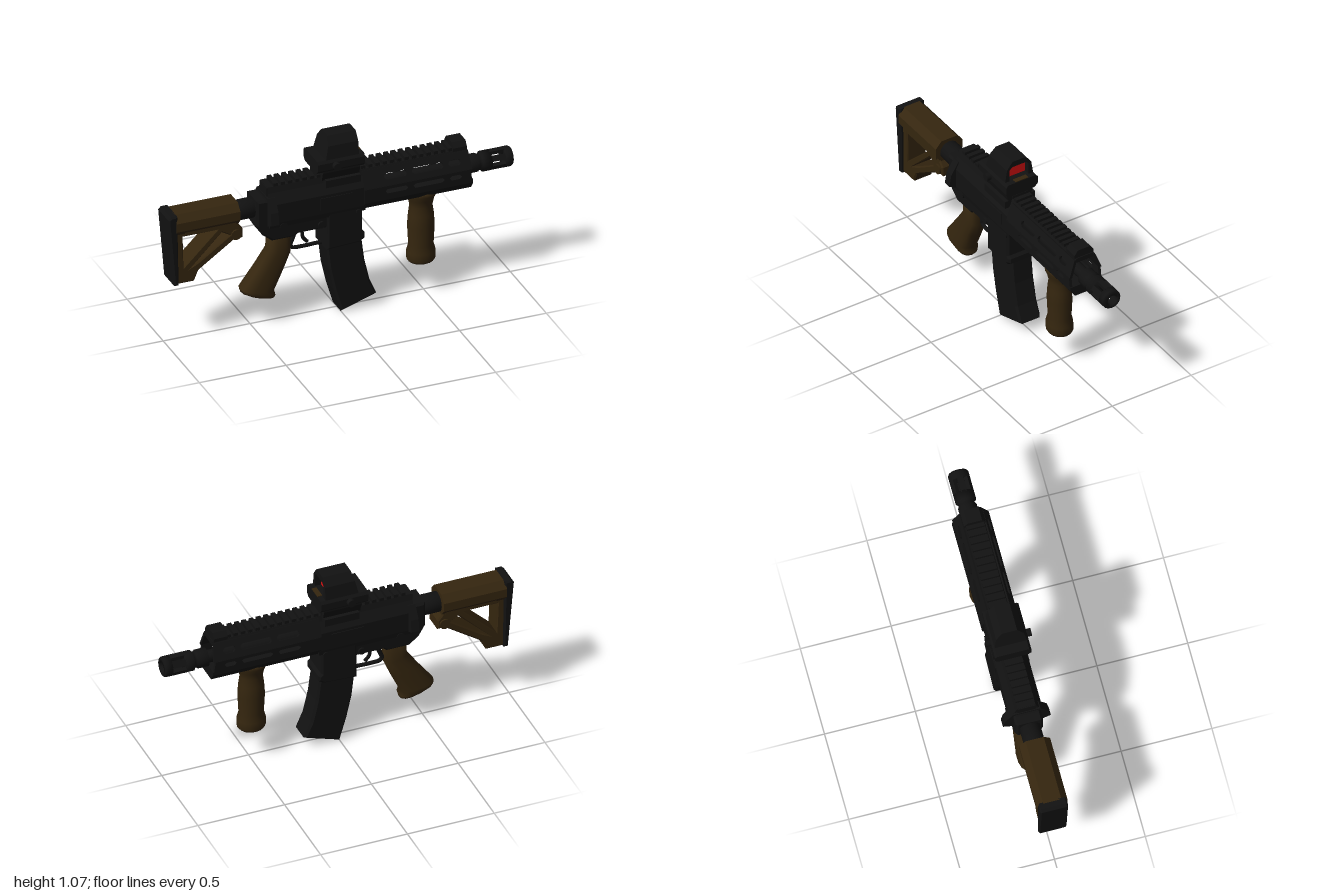
import * as THREE from 'three';

const mat = (name, color) => {
  const m = new THREE.MeshStandardMaterial({ color });
  m.name = name;
  return m;
};

export function createModel() {
  const black = mat('black', 0x121212), brown = mat('brown', 0x35260f), red = mat('red', 0xd81010);
  const root = new THREE.Group();
  root.name = 'carbine';

  const add = (name, geo, m = black, x = 0, y = 0, z = 0) => {
    const mesh = new THREE.Mesh(geo, m);
    mesh.name = name;
    mesh.position.set(x, y, z);
    root.add(mesh);
    return mesh;
  };
  const vec = (pts) => pts.map(([a, b]) => new THREE.Vector2(a, b));
  const shapeOf = (pts, holes = []) => {
    const s = new THREE.Shape(vec(pts));
    holes.forEach((h) => s.holes.push(new THREE.Path(vec(h))));
    return s;
  };
  const box = (name, x0, x1, y0, y1, w, m = black, z = 0) =>
    add(name, new THREE.BoxGeometry(x1 - x0, y1 - y0, w), m, (x0 + x1) / 2, (y0 + y1) / 2, z);
  // side outline in x,y given a width across z, with chamfered edges
  const slab = (name, pts, w, bevel = 0.012, holes = [], m = black) => {
    const geo = new THREE.ExtrudeGeometry(shapeOf(pts, holes), {
      depth: w - 2 * bevel, bevelEnabled: bevel > 0, bevelSize: bevel, bevelThickness: bevel,
      bevelOffset: -bevel, bevelSegments: 1,
    });
    return add(name, geo.translate(0, 0, -w / 2 + bevel), m);
  };
  // half cross-section in z,y (listed upwards), mirrored and run along x
  const mirror = (half) => [...half, ...half.map(([z, y]) => [-z, y]).reverse()];
  const section = (name, half, x0, x1, m = black, holes = []) => {
    const geo = new THREE.ExtrudeGeometry(shapeOf(mirror(half), holes.map(mirror)),
      { depth: x1 - x0, bevelEnabled: false });
    return add(name, geo.rotateY(Math.PI / 2).translate(x0, 0, 0), m);
  };
  // turned part along x: profile of [x, radius]
  const turned = (name, pts, y, sides = 16) =>
    add(name, new THREE.LatheGeometry(vec(pts.map(([x, r]) => [r, x])), sides).toNonIndexed()
      .rotateZ(-Math.PI / 2), flat(pts), 0, y, 0);
  const flat = () => black;
  const rod = (name, x, y, r, w, m = black) =>
    add(name, new THREE.CylinderGeometry(r, r, w, 12).rotateX(Math.PI / 2), m, x, y, 0);
  const tube = (name, pts, r) => add(name, new THREE.TubeGeometry(
    new THREE.CatmullRomCurve3(pts.map(([x, y]) => new THREE.Vector3(x, y, 0))), 24, r, 8), black);
  // loft through oval rings, each [leftX, leftY, rightX, rightY, halfWidth], from top to bottom
  const loft = (name, rings, m, n = 14) => {
    const pos = [], idx = [];
    const soft = (v) => Math.sign(v) * Math.abs(v) ** 0.75;
    rings.forEach(([lx, ly, rx, ry, w]) => {
      for (let j = 0; j < n; j++) {
        const t = (j / n) * Math.PI * 2, c = soft(Math.cos(t)) / 2;
        pos.push((lx + rx) / 2 + (rx - lx) * c, (ly + ry) / 2 + (ry - ly) * c, w * soft(Math.sin(t)));
      }
    });
    for (let i = 0; i < rings.length - 1; i++) {
      for (let j = 0; j < n; j++) {
        const a = i * n + j, b = i * n + (j + 1) % n;
        idx.push(a, b, a + n, b, b + n, a + n);
      }
    }
    const last = (rings.length - 1) * n;
    for (let j = 1; j < n - 1; j++) idx.push(0, j + 1, j, last, last + j, last + j + 1);
    const geo = new THREE.BufferGeometry();
    geo.setAttribute('position', new THREE.Float32BufferAttribute(pos, 3));
    geo.setIndex(idx);
    geo.computeVertexNormals();
    return add(name, geo, m);
  };

  // Stock
  section('stockTop', [[0.06, 0.66], [0.085, 0.69], [0.085, 0.74], [0.05, 0.78]], -0.955, -0.59, brown);
  slab('stockFrame', [[-0.96, 0.36], [-0.845, 0.36], [-0.82, 0.42], [-0.61, 0.565], [-0.565, 0.565],
    [-0.565, 0.62], [-0.59, 0.65], [-0.59, 0.7], [-0.965, 0.7]], 0.12, 0.008, [
    [[-0.91, 0.64], [-0.715, 0.64], [-0.905, 0.455]],
    [[-0.685, 0.62], [-0.64, 0.595], [-0.815, 0.475], [-0.87, 0.44]],
  ], brown);
  box('stockRib', -0.9, -0.61, 0.655, 0.675, 0.14, brown);
  rod('stockLever', -0.605, 0.595, 0.03, 0.14, brown);
  slab('buttPad', [[-0.965, 0.36], [-0.94, 0.36], [-0.948, 0.78], [-0.985, 0.78], [-1, 0.765]], 0.155, 0.008);
  turned('bufferTube', [[-0.62, 0], [-0.62, 0.057], [-0.47, 0.057], [-0.47, 0]], 0.705);

  // Receiver
  section('upperReceiver', [[0.085, 0.6], [0.09, 0.63], [0.09, 0.74], [0.06, 0.8], [0.05, 0.832]], -0.42, 0.13);
  slab('lowerReceiver', [[-0.49, 0.62], [-0.455, 0.56], [-0.4, 0.515], [-0.27, 0.515], [-0.25, 0.53],
    [-0.08, 0.53], [-0.08, 0.72], [-0.44, 0.77], [-0.49, 0.77]], 0.15);
  slab('magazineWell', [[-0.09, 0.4], [0.1, 0.41], [0.13, 0.43], [0.13, 0.46], [0.115, 0.475],
    [0.115, 0.64], [-0.09, 0.64]], 0.175);
  section('rearPlate', [[0.08, 0.615], [0.132, 0.64], [0.12, 0.71], [0.075, 0.78]], -0.43, -0.385);
  box('rearSight', -0.425, -0.375, 0.76, 0.83, 0.1);
  box('ejectionPort', -0.13, 0.06, 0.655, 0.725, 0.188);
  rod('selector', -0.34, 0.6, 0.022, 0.18);
  rod('rearPin', -0.4, 0.64, 0.015, 0.165);
  rod('frontPin', 0.09, 0.6, 0.016, 0.185);
  rod('magazineCatch', -0.12, 0.56, 0.02, 0.17);
  tube('triggerGuard', [[-0.275, 0.45], [-0.26, 0.415], [-0.2, 0.408], [-0.13, 0.41], [-0.085, 0.41]], 0.011);
  tube('guardPost', [[-0.235, 0.53], [-0.25, 0.48], [-0.27, 0.43]], 0.012);
  tube('trigger', [[-0.195, 0.54], [-0.2, 0.5], [-0.195, 0.46], [-0.17, 0.43]], 0.01);

  // Magazine
  slab('magazine', [[0, 0], [0.205, 0.068], [0.165, 0.16], [0.135, 0.29], [0.115, 0.45],
    [-0.085, 0.45], [-0.085, 0.4], [-0.07, 0.27], [-0.04, 0.135]], 0.134);

  // Grips
  loft('pistolGrip', [[-0.4, 0.53, -0.275, 0.53, 0.055], [-0.405, 0.44, -0.275, 0.405, 0.056],
    [-0.47, 0.345, -0.315, 0.31, 0.06], [-0.56, 0.225, -0.368, 0.195, 0.064],
    [-0.555, 0.205, -0.36, 0.165, 0.064], [-0.525, 0.188, -0.365, 0.148, 0.055]], brown);
  const foregrip = add('foregrip', new THREE.LatheGeometry(vec([[0, 0.185], [0.07, 0.185], [0.08, 0.2],
    [0.08, 0.245], [0.069, 0.285], [0.075, 0.4], [0.07, 0.47], [0.063, 0.52], [0.072, 0.56],
    [0.086, 0.59], [0.086, 0.615], [0, 0.615]]), 16), brown, 0.485);
  foregrip.scale.z = 0.9;

  // Handguard: trough, slotted side panels, top rail
  section('handguardBase', [[0.07, 0.603], [0.1, 0.645], [0.1, 0.665], [0.07, 0.665]], 0.12, 0.745);
  const slot = (x0, x1, y0, y1) => [[x0, y0 + 0.012], [x0 + 0.012, y0], [x1 - 0.012, y0], [x1, y0 + 0.012],
    [x1, y1 - 0.012], [x1 - 0.012, y1], [x0 + 0.012, y1], [x0, y1 - 0.012]];
  const xs = [[0.24, 0.37], [0.4, 0.58], [0.61, 0.68]];
  const panel = (name, y, h, z, tilt, holeY0, holeY1) => [1, -1].forEach((s) => {
    const p = slab(name, [[0.12, -h / 2], [0.74, -h / 2], [0.73, h / 2], [0.12, h / 2]], 0.016, 0,
      xs.map(([a, b]) => slot(a, b, holeY0, holeY1)));
    p.position.set(0, y, s * z);
    p.rotation.x = -s * tilt;
  });
  panel('lowerPanel', 0.695, 0.07, 0.092, 0, -0.013, 0.013);
  panel('upperPanel', 0.773, 0.105, 0.075, 0.36, -0.018, 0.018);
  section('handguardRoof', [[0.062, 0.805], [0.052, 0.832]], 0.12, 0.73);
  for (let i = 0; i < 26; i++) {
    const x = -0.385 + i * 0.042;
    box('railTooth', x, x + 0.025, 0.828, 0.85, 0.1);
  }
  section('frontSight', [[0.06, 0.83], [0.06, 0.85], [0.04, 0.878]], 0.645, 0.725);

  // Barrel and flash hider
  turned('barrel', [[0.1, 0], [0.1, 0.035], [0.745, 0.035], [0.745, 0.052], [0.8, 0.052], [0.81, 0.045],
    [0.825, 0.045], [0.83, 0.057], [0.878, 0.057], [0.878, 0]], 0.705);
  turned('muzzleRing', [[0.955, 0.03], [0.955, 0.057], [0.99, 0.057], [1, 0.05], [1, 0.03], [0.955, 0.03]], 0.705);
  for (let i = 0; i < 6; i++) {
    const a = ((i + 0.5) * Math.PI) / 3;
    const bar = add('muzzleBar', new THREE.BoxGeometry(0.09, 0.032, 0.02), black, 0.915,
      0.705 + 0.045 * Math.sin(a), 0.045 * Math.cos(a));
    bar.rotation.x = -a;
  }

  // Optic: clamp, neck, base, hood with recessed lens
  box('opticClamp', -0.1, 0.1, 0.785, 0.828, 0.19);
  section('opticNeck', [[0.07, 0.82], [0.085, 0.87], [0.085, 0.885]], -0.115, 0.1);
  section('opticBase', [[0.08, 0.875], [0.1, 0.895], [0.1, 0.935], [0.088, 0.95]], -0.15, 0.122);
  rod('opticKnob', -0.045, 0.915, 0.022, 0.25);
  const hoodOutline = [[0.09, 0.94], [0.077, 1.025], [0.042, 1.07]];
  const back = section('hoodBack', hoodOutline, -0.1, 0.05);
  const p = back.geometry.attributes.position;
  for (let i = 0; i < p.count; i++) if (p.getX(i) < 0) p.setX(i, p.getX(i) + (p.getY(i) - 0.94) * 0.22);
  back.geometry.computeVertexNormals();
  section('hoodFrame', hoodOutline, 0.05, 0.092, black,
    [[[0.06, 0.948], [0.06, 1.02], [0.045, 1.036]]]);
  section('lens', [[0.06, 0.948], [0.06, 1.02], [0.045, 1.036]], 0.05, 0.056, red);
  box('lensSill', 0.092, 0.12, 0.948, 0.954, 0.08, brown);

  return root;
}
